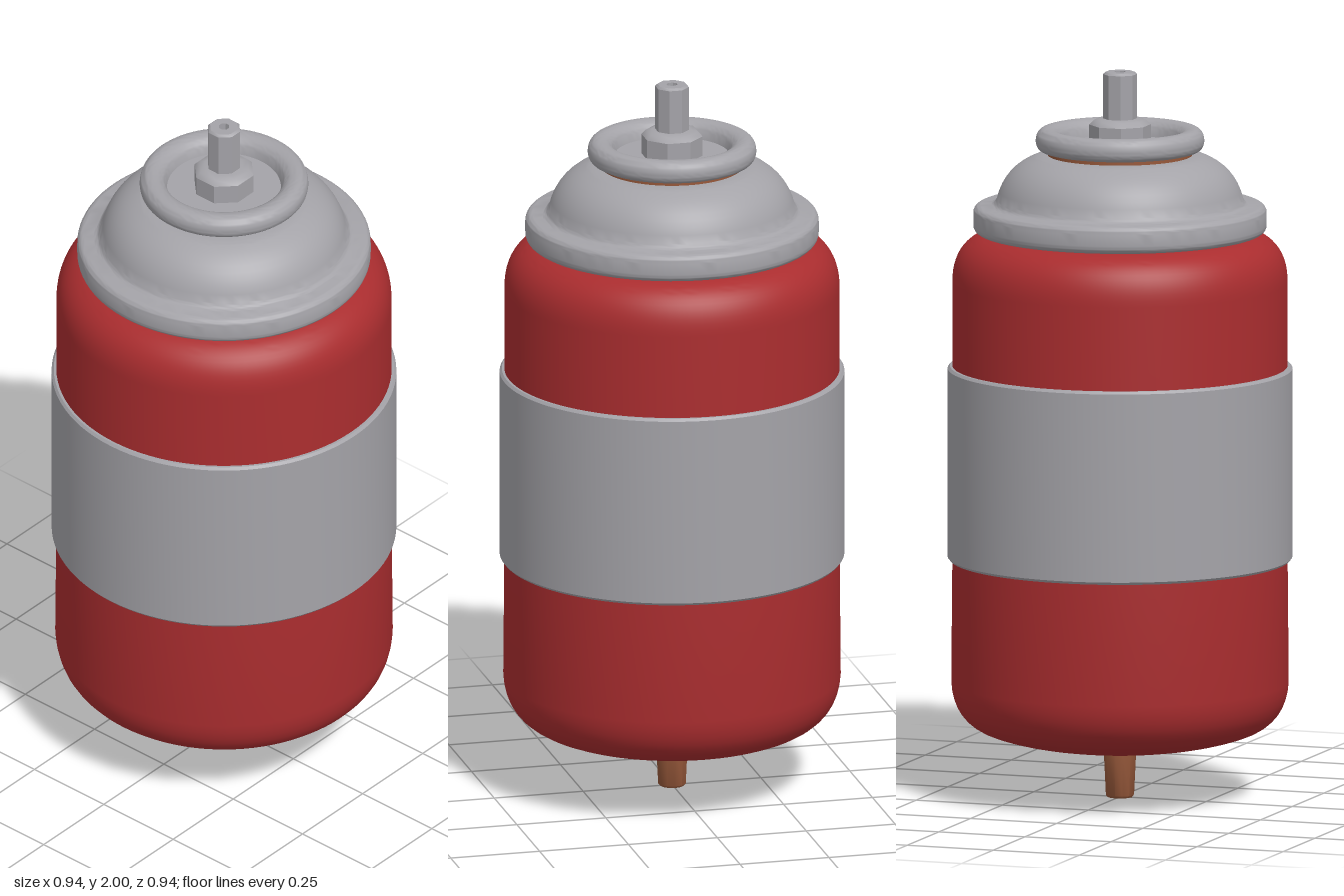
import * as THREE from 'three';
import { toCreasedNormals } from 'three/addons/utils/BufferGeometryUtils.js';

const red = new THREE.MeshStandardMaterial({ color: 0xaa2d2f });
red.name = 'red paint';
const grey = new THREE.MeshStandardMaterial({ color: 0xa4a3a8 });
grey.name = 'grey metal';
const copper = new THREE.MeshStandardMaterial({ color: 0x96583a });
copper.name = 'copper';

// Revolve a path; points run up the outside so that faces look outward
function turned(name, path, material, segments = 96) {
  const geometry = new THREE.LatheGeometry(path.getPoints(8), segments);
  const mesh = new THREE.Mesh(toCreasedNormals(geometry, 0.7), material);
  mesh.name = name;
  return mesh;
}

function pathFrom(points) {
  const path = new THREE.Path();
  path.moveTo(...points[0]);
  points.slice(1).forEach((p) => {
    if (p.length === 4) path.quadraticCurveTo(...p);
    else path.lineTo(...p);
  });
  return path;
}

export function createModel() {
  const model = new THREE.Group();
  model.name = 'sprayCan';

  // Red canister with domed base, small bottom boss and rounded shoulder
  model.add(turned('canBody', pathFrom([
    [0, 0.12], [0.05, 0.12], [0.062, 0.122, 0.075, 0.135], [0.1, 0.138],
    [0.25, 0.142, 0.36, 0.18], [0.455, 0.212, 0.46, 0.32],
    [0.457, 0.66], [0.457, 1.42], [0.457, 1.49, 0.42, 1.525],
    [0.39, 1.553, 0.35, 1.555], [0, 1.57],
  ]), red));

  // Wide label band
  model.add(turned('labelBand', pathFrom([
    [0.44, 0.657], [0.464, 0.657], [0.47, 0.664], [0.47, 1.183], [0.464, 1.19], [0.44, 1.19],
  ]), grey));

  // Crimped collar and dome
  model.add(turned('collarAndDome', pathFrom([
    [0.33, 1.557], [0.38, 1.557], [0.4, 1.56, 0.4, 1.58], [0.4, 1.61],
    [0.4, 1.63, 0.38, 1.633], [0.355, 1.633], [0.343, 1.634, 0.336, 1.65],
    [0.315, 1.735, 0.235, 1.765], [0.22, 1.772, 0.18, 1.772], [0, 1.772],
  ]), grey));

  // Copper gasket between dome and cup
  model.add(turned('gasket', pathFrom([[0.15, 1.765], [0.197, 1.765], [0.197, 1.79], [0.15, 1.79]]), copper));

  // Valve cup with rolled rim and sunken floor
  model.add(turned('valveCup', pathFrom([
    [0, 1.782], [0.205, 1.782], [0.229, 1.784, 0.23, 1.81],
    [0.229, 1.843, 0.2, 1.845], [0.17, 1.844, 0.16, 1.82], [0.155, 1.8], [0, 1.8],
  ]), grey));

  // Octagonal valve seat and hollow stem, flats facing the axes
  const toCorner = 1 / Math.cos(Math.PI / 8);
  const seat = turned('valveSeat', pathFrom([
    [0.078, 1.795], [0.078, 1.855], [0.066, 1.868], [0.05, 1.872], [0, 1.872],
  ].map(([r, y]) => [r * toCorner, y])), grey, 8);
  const stem = turned('valveStem', pathFrom([
    [0.043, 1.86], [0.043, 1.994], [0.037, 2], [0.014, 2], [0.013, 1.95], [0, 1.95],
  ].map(([r, y]) => [r * toCorner, y])), grey, 8);
  seat.rotation.y = stem.rotation.y = Math.PI / 8;
  model.add(seat, stem);

  // Copper pin under the can
  const pin = turned('bottomPin', pathFrom([
    [0, 0], [0.034, 0], [0.039, 0.006], [0.045, 0.13], [0, 0.13],
  ]), copper, 12);
  model.add(pin);

  return model;
}
